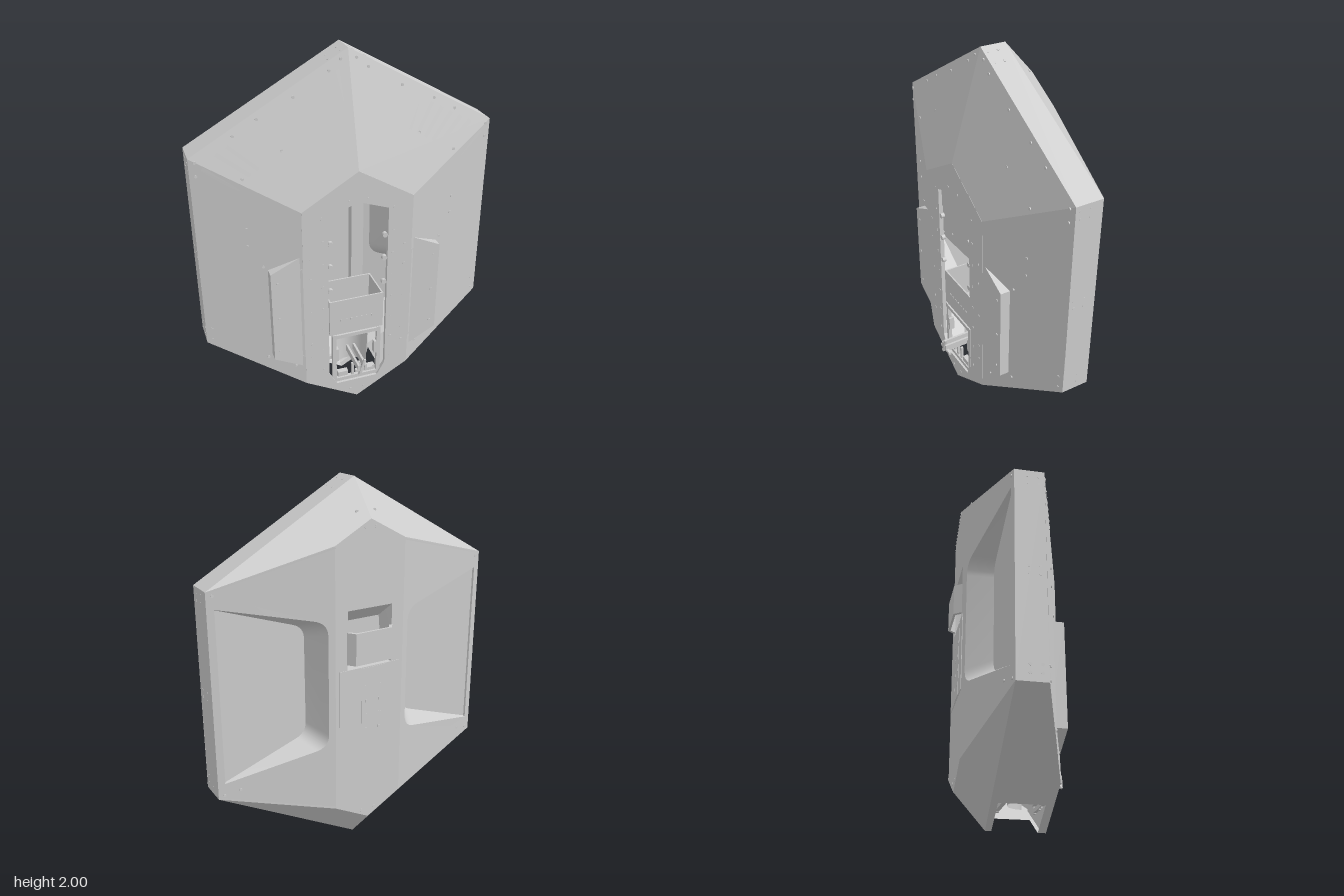
import * as THREE from 'three';
import { mergeGeometries, toCreasedNormals } from 'three/addons/utils/BufferGeometryUtils.js';

const V = (p) => new THREE.Vector2(p[0], p[1]);

// Depth of the faceted front and back at any point of the hexagon
const frontZ = (x, y) => 0.19 - 0.34 * Math.max(0, Math.abs(x) - 0.3, (y - 1.43 + 0.6 * Math.abs(x)) * 0.857);
const backZ = (x, y) => -0.27 + Math.max(0, (Math.abs(x) - 0.2) * 0.2333, (Math.abs(y - 1) - 0.82 + 0.55 * Math.abs(x)) * 0.88);

// Outline with holes
function outlineShape(outline, holes = []) {
  const shape = new THREE.Shape(outline.map(V));
  shape.holes = holes.map((h) => new THREE.Path(h.map(V)));
  return shape;
}

// Flat outline with each corner moved to 3D by a rule
function sheet(outline, map, holes) {
  const g = new THREE.ShapeGeometry(outlineShape(outline, holes));
  const p = g.attributes.position;
  for (let i = 0; i < p.count; i++) p.setXYZ(i, ...map(p.getX(i), p.getY(i)));
  g.computeVertexNormals();
  return g;
}

// Recess: walls joining an opening ring to a floor ring, plus the floor
function recess(ring, floor, topZ, floorZ) {
  const pos = [], idx = [], n = ring.length;
  for (let i = 0; i < n; i++) {
    pos.push(ring[i][0], ring[i][1], topZ(...ring[i]), floor[i][0], floor[i][1], floorZ);
    const a = 2 * i, b = 2 * ((i + 1) % n);
    idx.push(a, b, a + 1, b, b + 1, a + 1);
  }
  const g = new THREE.BufferGeometry();
  g.setAttribute('position', new THREE.Float32BufferAttribute(pos, 3));
  g.setIndex(idx);
  return [toCreasedNormals(g, 0.6), sheet(floor, (x, y) => [x, y, floorZ])];
}

// Tapered ring with two rounded inner corners
function pocketRing(s, xo, ho, xi, hi, r) {
  const k = (ho - hi) / (xo - xi);
  const sh = new THREE.Shape();
  sh.moveTo(xo, 1 - ho);
  sh.lineTo(xo, 1 + ho);
  sh.lineTo(xi + r, 1 + hi + k * r);
  sh.quadraticCurveTo(xi, 1 + hi, xi, 1 + hi - r);
  sh.lineTo(xi, 1 - hi + r);
  sh.quadraticCurveTo(xi, 1 - hi, xi + r, 1 - hi - k * r);
  return sh.getPoints(8).map((p) => [s * p.x, p.y]);
}

// Thin strip laid on a surface
function strip(a, b, w, z) {
  const dx = b[0] - a[0], dy = b[1] - a[1], l = Math.hypot(dx, dy);
  const nx = (-dy / l) * w / 2, ny = (dx / l) * w / 2;
  return sheet([[a[0] + nx, a[1] + ny], [b[0] + nx, b[1] + ny], [b[0] - nx, b[1] - ny], [a[0] - nx, a[1] - ny]],
    (x, y) => [x, y, z(x, y)]);
}
const mix = (a, b, t) => [a[0] + (b[0] - a[0]) * t, a[1] + (b[1] - a[1]) * t];

export function createModel() {
  const root = new THREE.Group();
  root.name = 'hexagonalHousing';
  const grey = new THREE.MeshStandardMaterial({ name: 'lightGrey', color: 0xcccccc, side: THREE.DoubleSide });
  const add = (name, geo, parent = root) => {
    const mesh = new THREE.Mesh(geo, grey);
    mesh.name = name;
    parent.add(mesh);
    return mesh;
  };
  const box = (name, w, h, d, x, y, z, parent = root) => {
    const b = add(name, new THREE.BoxGeometry(w, h, d), parent);
    b.position.set(x, y, z);
    return b;
  };
  const onFront = (x, y) => [x, y, frontZ(x, y)];
  const onBack = (x, y) => [x, y, backZ(x, y)];

  // Central front plate with tall opening
  const plate = outlineShape([[0, 1.43], [0.3, 1.25], [0.3, 0.1725], [0, 0], [-0.3, 0.1725], [-0.3, 1.25]],
    [[[-0.165, 0.2], [-0.12, 0.12], [0.12, 0.12], [0.165, 0.2], [0.165, 1.2], [0, 1.26], [-0.165, 1.2]]]);
  add('frontPlate', new THREE.ExtrudeGeometry(plate, { depth: 0.02, bevelEnabled: false })).position.z = 0.171;

  // Back spine with handle recess
  const win = [[-0.13, 1.07], [0.13, 1.07], [0.13, 1.38], [-0.13, 1.38]];
  const winFloor = [[-0.13, 1.07], [0.13, 1.07], [0.11, 1.3], [-0.11, 1.3]];
  add('backSpine', sheet([[0, 1.82], [0.2, 1.71], [0.2, 0.29], [0, 0.18], [-0.2, 0.29], [-0.2, 1.71]], onBack, [win]));
  recess(win, winFloor, backZ, -0.18).forEach((g) => add('handleRecess', g));

  for (const s of [1, -1]) {
    const m = (pts) => pts.map(([x, y]) => [s * x, y]);
    // Sloped front faces
    add('frontSide', sheet(m([[0.3, 1.25], [0.8, 1.54], [0.8, 0.46], [0.3, 0.1725]]), onFront));
    add('frontTop', sheet(m([[0, 1.43], [0.3, 1.25], [0.8, 1.54], [0, 2]]), onFront));
    // Sloped back faces with side pocket
    const ring = pocketRing(s, 0.765, 0.455, 0.235, 0.335, 0.07);
    const floor = pocketRing(s, 0.76, 0.45, 0.3, 0.29, 0.06);
    add('backSide', sheet(m([[0.2, 1.71], [0.8, 1.54], [0.8, 0.46], [0.2, 0.29]]), onBack, [ring]));
    recess(ring, floor, backZ, -0.13).forEach((g) => add('sidePocket', g));
    const top = [[0, 1.82], [0.2, 1.71], [0.8, 1.54], [0, 2]];
    add('backTop', sheet(m(top), onBack));
    add('backBottom', sheet(m(top.map(([x, y]) => [x, 2 - y])), onBack));
    // Rim walls, the lower one notched for the outlet
    const zf = frontZ(0.8, 1.54), zb = backZ(0.8, 1.54), za = frontZ(0, 2), zc = backZ(0, 2);
    add('rimSide', sheet([[0.46, zf], [1.54, zf], [1.54, zb], [0.46, zb]], (y, z) => [s * 0.8, y, z]));
    add('rimTop', sheet([[0, za], [0.8, zf], [0.8, zb], [0, zc]], (x, z) => [s * x, 2 - 0.575 * x, z]));
    add('rimBottom', sheet([[0, 0.19], [0.3, 0.19], [0.8, zf], [0.8, zb], [0, zc], [0, -0.08], [0.17, -0.08], [0.17, 0.15], [0, 0.15]],
      (x, z) => [s * x, 0.575 * x, z]));
    // Raised side cover
    const cover = outlineShape(m([[0.3, 1.0], [0.47, 0.92], [0.47, 0.38], [0.3, 0.29]]));
    add('sideCover', new THREE.ExtrudeGeometry(cover, { depth: 0.085, bevelEnabled: false })).position.z = 0.1;
  }

  const vents = [], lines = [], seams = [];
  for (const s of [1, -1]) {
    // Fan of vent slots along the top and upper sides
    const bands = [[[0.06, 1.905], [0.67, 1.555], [0.05, 1.725], [0.52, 1.445], 12], [[0.74, 1.49], [0.74, 1.07], [0.58, 1.37], [0.58, 1.07], 9]];
    for (const [o0, o1, i0, i1, n] of bands) {
      for (let i = 0; i < n; i++) {
        const a = mix(o0, o1, i / (n - 1)), b = mix(i0, i1, i / (n - 1));
        vents.push(strip([s * a[0], a[1]], [s * b[0], b[1]], 0.022, (x, y) => frontZ(x, y) + 0.003));
      }
    }
    // Panel lines on the side covers
    const c = [[0.3, 0.93], [0.405, 0.86], [0.405, 0.43], [0.3, 0.36]];
    c.forEach((p, i) => {
      const q = c[(i + 1) % 4];
      lines.push(strip([s * p[0], p[1]], [s * q[0], q[1]], 0.006, () => i === 3 ? 0.194 : 0.188));
    });
    // Seams between the back body and its end caps
    for (const e of [1, -1]) {
      const pts = [[0, 0.812], [0.198, 0.702], [0.79, 0.535]].map(([x, y]) => [s * x, 1 + e * y]);
      for (let i = 0; i < 2; i++) seams.push(strip(pts[i], pts[i + 1], 0.008, (x, y) => backZ(x, y) - 0.003));
    }
  }
  add('ventSlots', mergeGeometries(vents));
  add('coverPanelLines', mergeGeometries(lines));
  add('backSeams', mergeGeometries(seams));

  // Fasteners facing a given direction
  const screws = [];
  const screw = (x, y, z, dir) => {
    const g = new THREE.CylinderGeometry(0.008, 0.008, 0.006, 8);
    g.applyQuaternion(new THREE.Quaternion().setFromUnitVectors(new THREE.Vector3(0, 1, 0), new THREE.Vector3(...dir).normalize()));
    screws.push(g.translate(x, y, z));
  };
  for (const s of [1, -1]) {
    for (let i = 0; i < 8; i++) screw(s * 0.195, 0.24 + i * 0.137, 0.19, [0, 0, 1]);
    for (const y of [0.34, 0.43, 0.64, 0.85, 0.97]) screw(s * 0.26, y, 0.19, [0, 0, 1]);
    for (const y of [0.43, 0.64, 0.86]) screw(s * 0.435, y, 0.185, [0, 0, 1]);
    for (const [x, y] of [[0.05, 1.27], [0.04, 0.06], [0.35, 0.3], [0.49, 0.36], [0.49, 0.94], [0.77, 0.48], [0.77, 0.55], [0.77, 1.45], [0.77, 1.52],
      [0.56, 1.06], [0.56, 1.16], [0.46, 1.7], [0.58, 1.63], [0.28, 1.79], [0.1, 1.9], [0.04, 1.95], [0.36, 1.55], [0.56, 1.43]])
      screw(s * x, y, frontZ(x, y), [s * (x > 0.5 && y < 1.4 ? 0.34 : 0), 0, 1]);
    for (const y of [0.5, 0.54, 0.98, 1.02, 1.47, 1.51])
      for (const z of [-0.01, -0.065]) screw(s * 0.798, y, z, [s, 0, 0]);
    for (const x of [0.03, 0.09])
      for (const z of [0, -0.055]) screw(s * x, 1.998 - 0.575 * x, z, [s * 0.5, 0.87, 0]);
    for (const [x, y] of [[0.03, 1.78], [0.05, 1.85], [0.77, 1.52], [0.77, 0.48], [0.69, 0.5], [0.04, 0.23]]) screw(s * x, y, backZ(x, y), [0, 0, -1]);
  }
  add('screws', mergeGeometries(screws));

  // Back handle, a bent strap
  const strap = outlineShape([[-0.135, -0.27], [-0.105, -0.31], [0.105, -0.31], [0.135, -0.27], [0.115, -0.27], [0.095, -0.298], [-0.095, -0.298], [-0.115, -0.27]]);
  const handle = add('backHandle', new THREE.ExtrudeGeometry(strap, { depth: 0.17, bevelEnabled: false }).rotateX(Math.PI / 2));
  handle.position.y = 1.27;

  // Service door below the handle, nearly flush
  box('serviceDoor', 0.36, 0.42, 0.006, 0, 0.86, -0.27);
  box('doorStrip', 0.14, 0.41, 0.004, -0.02, 0.86, -0.273);
  for (const y of [0.72, 0.8, 0.88, 0.96])
    for (const x of [-0.06, 0.02]) box('doorStud', 0.014, 0.014, 0.003, x, y, -0.275);

  // Inner carriage: back panel, rails and open bin
  const carriage = new THREE.Group();
  carriage.name = 'carriage';
  root.add(carriage);
  box('carriagePanel', 0.26, 0.8, 0.01, 0, 0.82, -0.14, carriage);
  for (const s of [1, -1]) {
    box('rail', 0.02, 0.78, 0.05, s * 0.07, 0.82, -0.11, carriage);
    for (const y of [0.75, 0.9, 1.04]) {
      const k = add('knob', new THREE.CylinderGeometry(0.014, 0.014, 0.02, 12).rotateX(Math.PI / 2), carriage);
      k.position.set(s * 0.15, y, 0.18);
    }
    box('binSide', 0.008, 0.22, 0.2, s * 0.15, 0.56, 0.07, carriage);
  }
  box('binFront', 0.31, 0.22, 0.008, 0, 0.56, 0.17, carriage);
  box('binBack', 0.31, 0.22, 0.008, 0, 0.56, -0.03, carriage);
  box('binFloor', 0.31, 0.008, 0.2, 0, 0.46, 0.07, carriage);
  for (let i = 0; i < 7; i++) box('binRivet', 0.01, 0.01, 0.004, -0.09 + i * 0.03, 0.54, 0.175, carriage);

  // Outlet mechanism: frame, curved chute and gripper arms
  const outlet = new THREE.Group();
  outlet.name = 'outlet';
  root.add(outlet);
  for (const z of [0.17, -0.03]) {
    for (const s of [1, -1]) box('framePost', 0.022, 0.33, 0.022, s * 0.13, 0.285, z, outlet);
    for (const y of [0.135, 0.435]) box('frameBar', 0.28, 0.022, 0.022, 0, y, z, outlet);
  }
  const chute = add('chute', new THREE.CylinderGeometry(0.1, 0.09, 0.29, 24, 1, true, Math.PI / 2, Math.PI), outlet);
  chute.position.set(0, 0.275, 0.09);
  for (const s of [1, -1]) {
    box('arm', 0.012, 0.04, 0.2, s * 0.02, 0.265, 0.175, outlet);
    box('strut', 0.014, 0.11, 0.014, s * 0.02, 0.17, 0.17, outlet);
    box('sideLever', 0.02, 0.08, 0.03, s * 0.115, 0.31, 0.165, outlet);
    box('footBracket', 0.06, 0.03, 0.03, s * 0.08, 0.17, 0.165, outlet);
  }
  box('gripperBar', 0.1, 0.016, 0.016, 0.01, 0.25, 0.265, outlet);
  box('gripperBlade', 0.014, 0.1, 0.012, 0, 0.27, 0.272, outlet).rotation.z = -0.3;
  return root;
}
